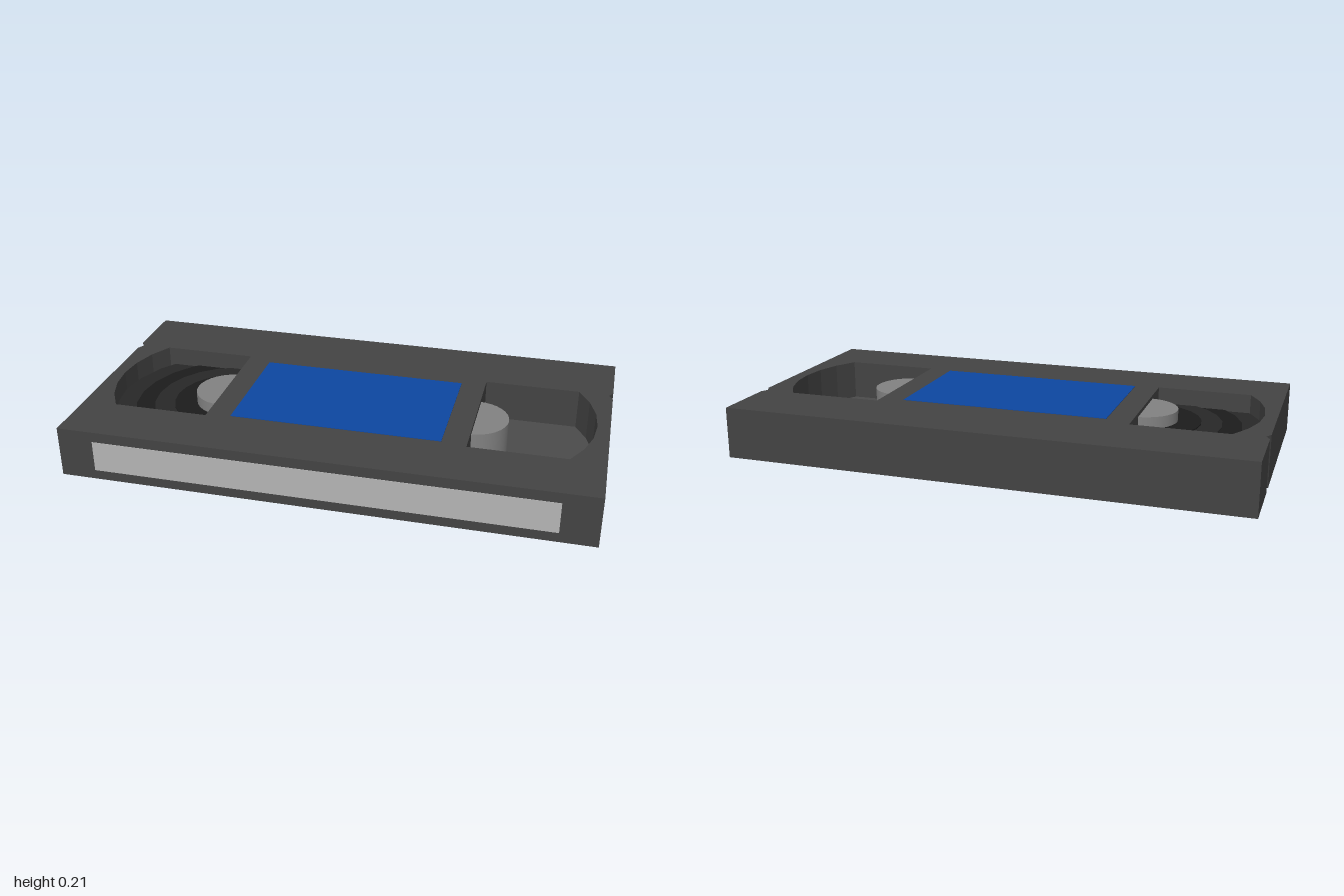
import * as THREE from 'three';
import { mergeGeometries } from 'three/addons/utils/BufferGeometryUtils.js';

const TOP = 0.21, FLOOR = 0.05, BOTTOM = 0.012, DEPTH = 0.522;
const NOTCH = { front: -0.215, mid: -0.2425, back: -0.27, inset: 0.015 };
const REEL_X = 0.49, REEL_Z = 0.035;

const mat = (color, flatShading = false) => new THREE.MeshStandardMaterial({ color, flatShading });

function part(name, geometry, material, x = 0, y = 0, z = 0) {
  const mesh = new THREE.Mesh(geometry, material);
  mesh.name = name;
  mesh.position.set(x, y, z);
  return mesh;
}

const toShape = (points) => new THREE.Shape(points.map(([x, y]) => new THREE.Vector2(x, y)));

// Reel window: straight inner edge, faceted arc on the outside
function windowPoints(side) {
  const points = [[side * 0.5, -0.25], [side * 0.5, 0.29]];
  const reach = Math.asin(0.265 / 0.462);
  for (let i = 0; i <= 6; i++) {
    const a = reach - (i / 6) * 2 * reach;
    points.push([side * (REEL_X + 0.462 * Math.cos(a)), 0.02 + 0.27 * Math.sin(a) / Math.sin(reach)]);
  }
  return points;
}

// Upper shell: plan outline with side notches and two windows
function upperShell() {
  const { front, mid, back, inset } = NOTCH;
  const outline = toShape([
    [-1, -DEPTH], [1, -DEPTH], [1, back], [1 - inset, mid], [1, front], [1, DEPTH],
    [-1, DEPTH], [-1, front], [-1 + inset, mid], [-1, back],
  ]);
  for (const side of [-1, 1]) outline.holes.push(new THREE.Path(toShape(windowPoints(side)).getPoints()));
  const geo = new THREE.ExtrudeGeometry(outline, { depth: TOP - FLOOR, bevelEnabled: false });
  return geo.rotateX(Math.PI / 2).translate(0, TOP, 0);
}

// Lower shell: slabs in front of and behind a V groove that meets the side notches
function lowerShell() {
  const { front, mid, back, inset } = NOTCH;
  const apex = BOTTOM + 0.026;
  const profiles = [
    [[DEPTH, BOTTOM], [DEPTH, FLOOR], [front, FLOOR], [front, BOTTOM]],
    [[front, BOTTOM], [front, FLOOR], [mid, FLOOR], [mid, apex]],
    [[mid, apex], [mid, FLOOR], [back, FLOOR], [back, BOTTOM]],
    [[back, BOTTOM], [back, FLOOR], [-DEPTH, FLOOR], [-DEPTH, BOTTOM]],
  ];
  const pieces = profiles.map((profile) => {
    const shape = toShape(profile.map(([z, y]) => [-z, y]));
    const geo = new THREE.ExtrudeGeometry(shape, { depth: 2, bevelEnabled: false });
    geo.translate(0, 0, -1).rotateY(Math.PI / 2);
    const p = geo.attributes.position;
    for (let i = 0; i < p.count; i++) {
      if (Math.abs(p.getZ(i) - mid) < 1e-4) p.setX(i, Math.sign(p.getX(i)) * (1 - inset));
    }
    geo.computeVertexNormals();
    return geo;
  });
  return mergeGeometries(pieces);
}

// Hub with a raised ring showing through the underside
function reel(name, x) {
  const group = new THREE.Group();
  group.name = name;
  group.position.set(x, 0, REEL_Z);
  const grey = mat(0x828282);
  group.add(part('hub', new THREE.CylinderGeometry(0.135, 0.135, 0.175, 32), grey, 0, 0.1075, 0));

  const ring = new THREE.Shape().absarc(0, 0, 0.14, 0, Math.PI * 2);
  ring.holes.push(new THREE.Path().absarc(0, 0, 0.095, 0, Math.PI * 2));
  const ringGeo = new THREE.ExtrudeGeometry(ring, { depth: 0.022, bevelEnabled: false, curveSegments: 24 });
  group.add(part('hubRing', ringGeo.rotateX(Math.PI / 2), grey, 0, 0.022, 0));
  group.add(part('hubSocket', new THREE.CylinderGeometry(0.096, 0.096, 0.012, 32), mat(0x505050), 0, 0.014, 0));
  return group;
}

// Wound tape in shallow steps around the hub
function tapePack() {
  const group = new THREE.Group();
  group.name = 'tapePack';
  group.position.set(-REEL_X, FLOOR, REEL_Z);
  [0.46, 0.38, 0.305, 0.225].forEach((radius, i) => {
    const height = 0.085 + i * 0.005;
    const geo = new THREE.CylinderGeometry(radius, radius, height, 24);
    group.add(part('tapeLayer', geo, mat(i % 2 ? 0x1c1c1c : 0x282828, true), 0, height / 2, 0));
  });
  return group;
}

export function createModel() {
  const model = new THREE.Group();
  model.name = 'videoCassette';
  const shell = mat(0x434343);

  model.add(part('upperShell', upperShell(), shell));
  model.add(part('lowerShell', lowerShell(), shell));

  // Floor of the empty window
  const floorGeo = new THREE.ExtrudeGeometry(toShape(windowPoints(1)), { depth: 0.002, bevelEnabled: false });
  model.add(part('windowFloor', floorGeo.rotateX(Math.PI / 2), mat(0x4b4b4b), 0, FLOOR + 0.002, 0));

  model.add(reel('rightReel', -REEL_X), reel('leftReel', REEL_X), tapePack());

  // Labels
  model.add(part('topLabel', new THREE.BoxGeometry(0.81, 0.004, 0.485), mat(0x0d47a1), 0, TOP, 0.0325));
  model.add(part('spineLabel', new THREE.BoxGeometry(1.725, 0.12, 0.004), mat(0xb4b4b4), 0, 0.11, DEPTH));
  return model;
}
